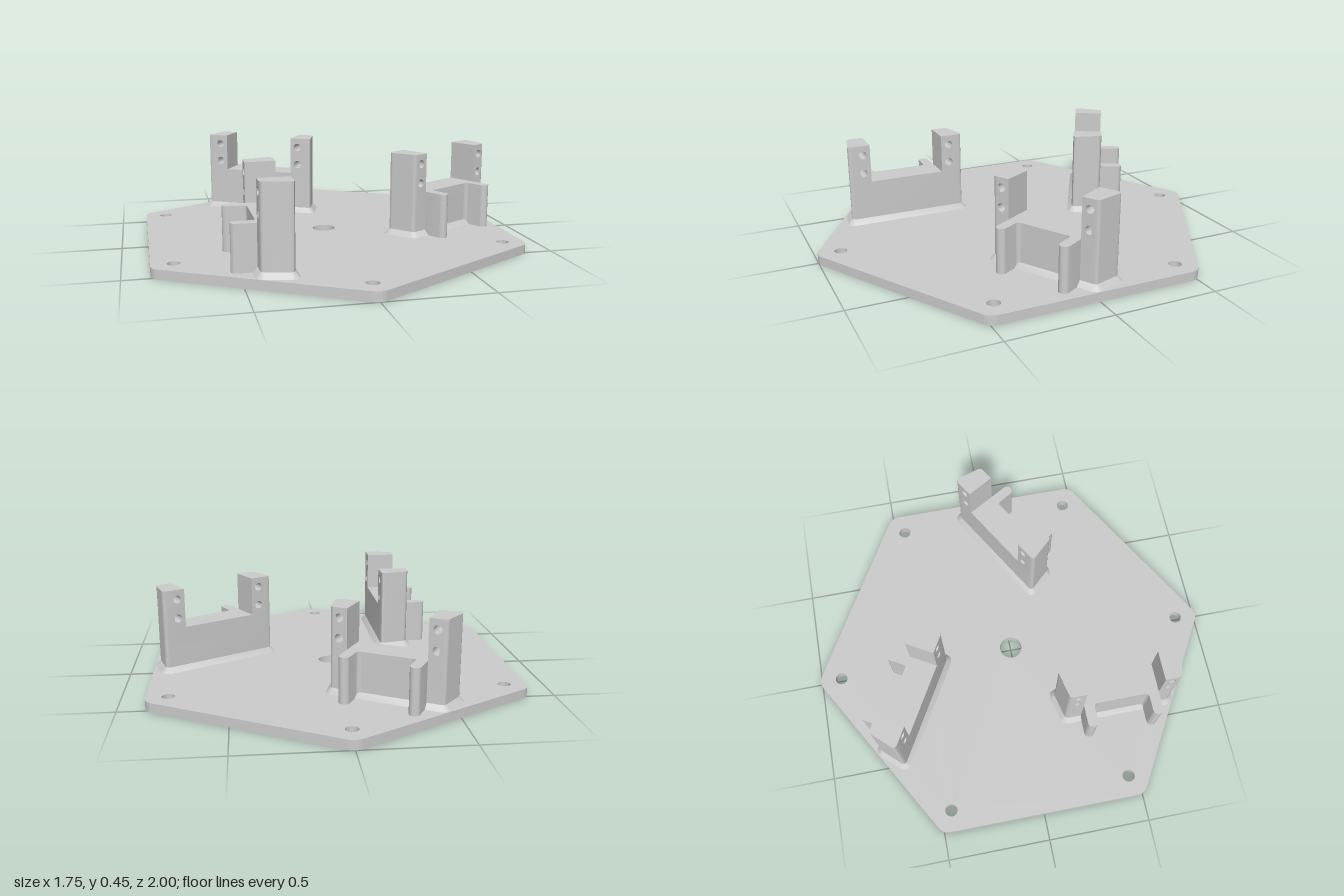
import * as THREE from 'three';
import { toCreasedNormals } from 'three/addons/utils/BufferGeometryUtils.js';

const PLATE = 0.045, DEPTH = 0.144, STEPS = 24;
const material = new THREE.MeshStandardMaterial({ color: 0xcccccc, side: THREE.DoubleSide });

function mesh(name, geometry) {
  const m = new THREE.Mesh(toCreasedNormals(geometry, 0.6), material);
  m.name = name;
  return m;
}

function hole(shape, x, y, r) {
  shape.holes.push(new THREE.Path().absarc(x, y, r, 0, Math.PI * 2, true));
}

// Half length of a bracket at depth d: slanted ends with rounded corners
function halfLength(d) {
  const round = (e, t) => (e < t ? t - Math.sqrt(Math.max(0, t * t - (t - e) ** 2)) : 0);
  return 0.267 + (0.033 * d) / DEPTH - round(d, 0.014) - round(DEPTH - d, 0.02);
}

// Rounded hexagonal plate with corner holes and a centre hole
function plateGeometry() {
  const s = new THREE.Shape(), r = 0.067;
  for (let i = 0; i < 6; i++) {
    const a = Math.PI / 6 + (i * Math.PI) / 3;
    s.absarc(0.933 * Math.cos(a), 0.933 * Math.sin(a), r, a - Math.PI / 6, a + Math.PI / 6);
    hole(s, 0.893 * Math.cos(a), 0.893 * Math.sin(a), 0.03);
  }
  s.closePath();
  hole(s, 0, 0, 0.056);
  return new THREE.ExtrudeGeometry(s, { depth: PLATE, bevelEnabled: false, curveSegments: 16 }).rotateX(-Math.PI / 2);
}

// U-shaped body: two drilled towers on a low wall
function bodyGeometry() {
  const s = new THREE.Shape([
    [-0.3, PLATE - 0.01], [0.3, PLATE - 0.01], [0.3, 0.45], [0.187, 0.45],
    [0.187, 0.26], [-0.187, 0.26], [-0.187, 0.45], [-0.3, 0.45],
  ].map(([x, y]) => new THREE.Vector2(x, y)));
  for (const x of [-0.226, 0.226]) for (const y of [0.308, 0.402]) hole(s, x, y, 0.02);
  const g = new THREE.ExtrudeGeometry(s, { depth: DEPTH, steps: STEPS, bevelEnabled: false, curveSegments: 10 });
  const p = g.attributes.position;
  for (let i = 0; i < p.count; i++) {
    const x = p.getX(i);
    if (Math.abs(x) > 0.29) p.setX(i, Math.sign(x) * halfLength(p.getZ(i)));
  }
  return g.rotateY(Math.PI / 2);
}

// Sloped skirt where the body meets the plate
function skirtGeometry() {
  const pts = [];
  for (let i = 0; i <= STEPS; i++) {
    const d = (DEPTH * i) / STEPS;
    pts.push(new THREE.Vector2(d, -halfLength(d)));
  }
  for (let i = STEPS; i >= 0; i--) {
    const d = (DEPTH * i) / STEPS;
    pts.push(new THREE.Vector2(d, halfLength(d)));
  }
  return new THREE.ExtrudeGeometry(new THREE.Shape(pts), {
    depth: 0.01, bevelThickness: 0.025, bevelSize: 0.023, bevelSegments: 1,
  }).rotateX(-Math.PI / 2).translate(0, 0.035, 0);
}

// Round-nosed rib behind the wall, flared on its inner side
function ribGeometry(side) {
  const s = new THREE.Shape();
  s.moveTo(0.01, 0.187);
  s.lineTo(-0.086, 0.187);
  s.absarc(-0.086, 0.162, 0.025, Math.PI / 2, Math.PI * 1.5, false);
  s.lineTo(-0.02, 0.137);
  s.quadraticCurveTo(0, 0.137, 0, 0.117);
  s.lineTo(0.01, 0.117);
  s.closePath();
  const g = new THREE.ExtrudeGeometry(s, { depth: 0.26 - PLATE, bevelEnabled: false, curveSegments: 10 });
  g.rotateX(-Math.PI / 2).translate(0, PLATE, 0);
  // Turning over about the x axis gives the mirrored rib
  if (side < 0) g.rotateX(Math.PI).translate(0, 0.26 + PLATE, 0);
  return g;
}

export function createModel() {
  const model = new THREE.Group();
  model.name = 'mountingPlate';
  model.add(mesh('plate', plateGeometry()));

  // Three equal brackets, a third of a turn apart
  for (let i = 0; i < 3; i++) {
    const turn = new THREE.Group();
    turn.name = 'bracket' + (i + 1);
    const bracket = new THREE.Group();
    bracket.name = 'bracketParts';
    bracket.position.set(-0.434, 0, 0.465);
    bracket.add(
      mesh('bracketBody', bodyGeometry()),
      mesh('bracketSkirt', skirtGeometry()),
      mesh('ribOne', ribGeometry(1)),
      mesh('ribTwo', ribGeometry(-1)),
    );
    turn.add(bracket);
    turn.rotation.y = (i * Math.PI * 2) / 3;
    model.add(turn);
  }
  return model;
}
